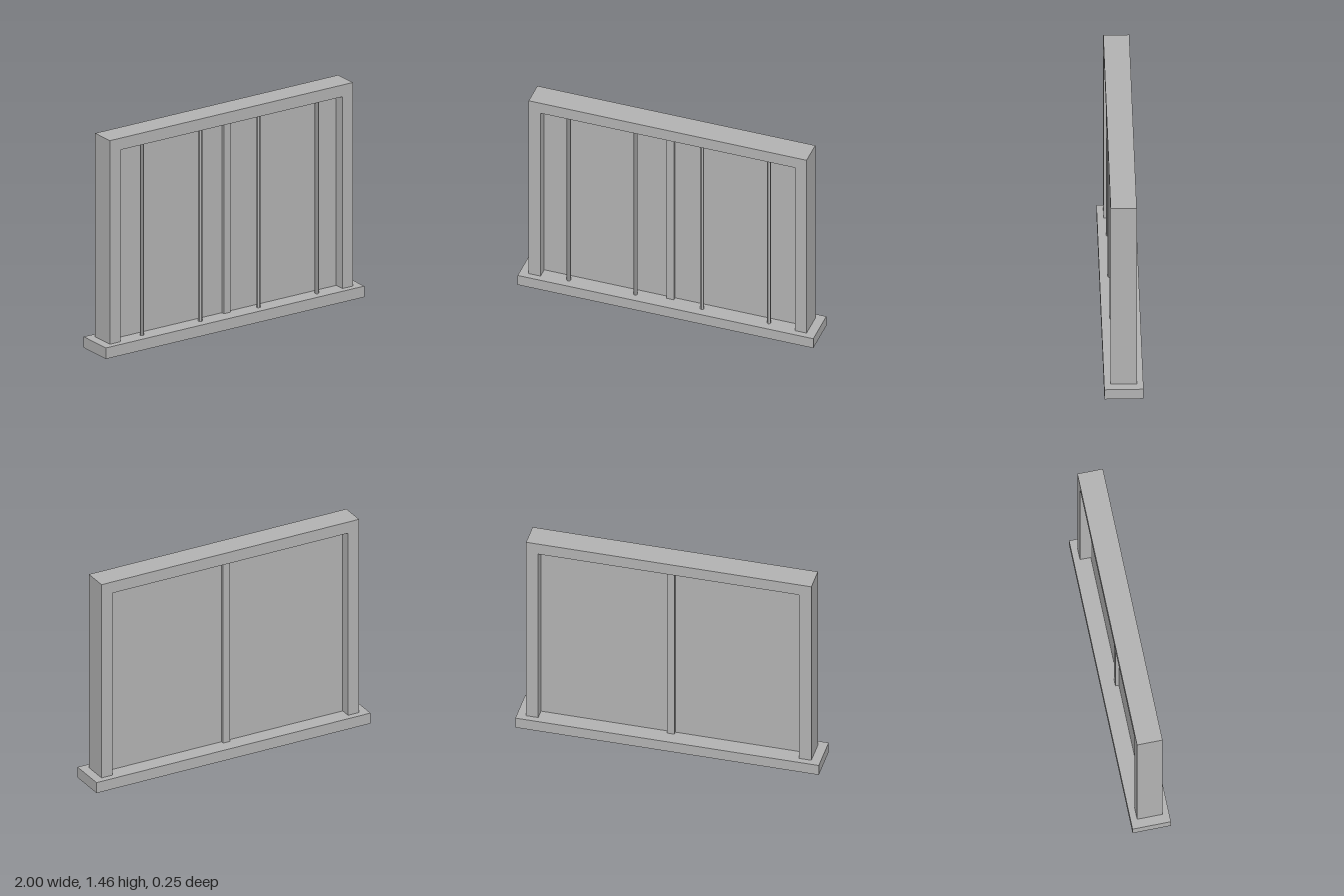
import * as THREE from 'three';

export function createModel() {
  const group = new THREE.Group();
  const grey = new THREE.MeshStandardMaterial({ color: 0xb3b3b3, flatShading: true });
  grey.name = 'grey';

  const sillTop = 0.075, frameTop = 1.46, openTop = 1.38;
  const outerX = 0.94, innerX = 0.86, depth = 0.166;
  const openHeight = openTop - sillTop;
  const openMid = (openTop + sillTop) / 2;

  const add = (name, geometry, x = 0, y = 0, z = 0) => {
    const mesh = new THREE.Mesh(geometry, grey);
    mesh.name = name;
    mesh.position.set(x, y, z);
    group.add(mesh);
  };

  // Wide sill at the foot
  add('sill', new THREE.BoxGeometry(2, sillTop, 0.25), 0, sillTop / 2);

  // Jambs and head as one U-shaped outline standing on the sill
  const outline = new THREE.Shape([
    [-outerX, sillTop], [-innerX, sillTop], [-innerX, openTop], [innerX, openTop],
    [innerX, sillTop], [outerX, sillTop], [outerX, frameTop], [-outerX, frameTop],
  ].map(([x, y]) => new THREE.Vector2(x, y)));
  add('frame', new THREE.ExtrudeGeometry(outline, { depth, bevelEnabled: false }), 0, 0, -depth / 2);

  // Thin pane and the central mullion through it
  add('pane', new THREE.BoxGeometry(innerX * 2, openHeight, 0.025), 0, openMid);
  add('mullion', new THREE.BoxGeometry(0.05, openHeight, 0.07), 0, openMid);

  // Slim six-sided security bars in front of the pane
  for (const x of [-0.677, -0.225, 0.225, 0.677]) {
    add('bar', new THREE.CylinderGeometry(0.0135, 0.0135, openHeight, 6), x, openMid, 0.06);
  }
  return group;
}
